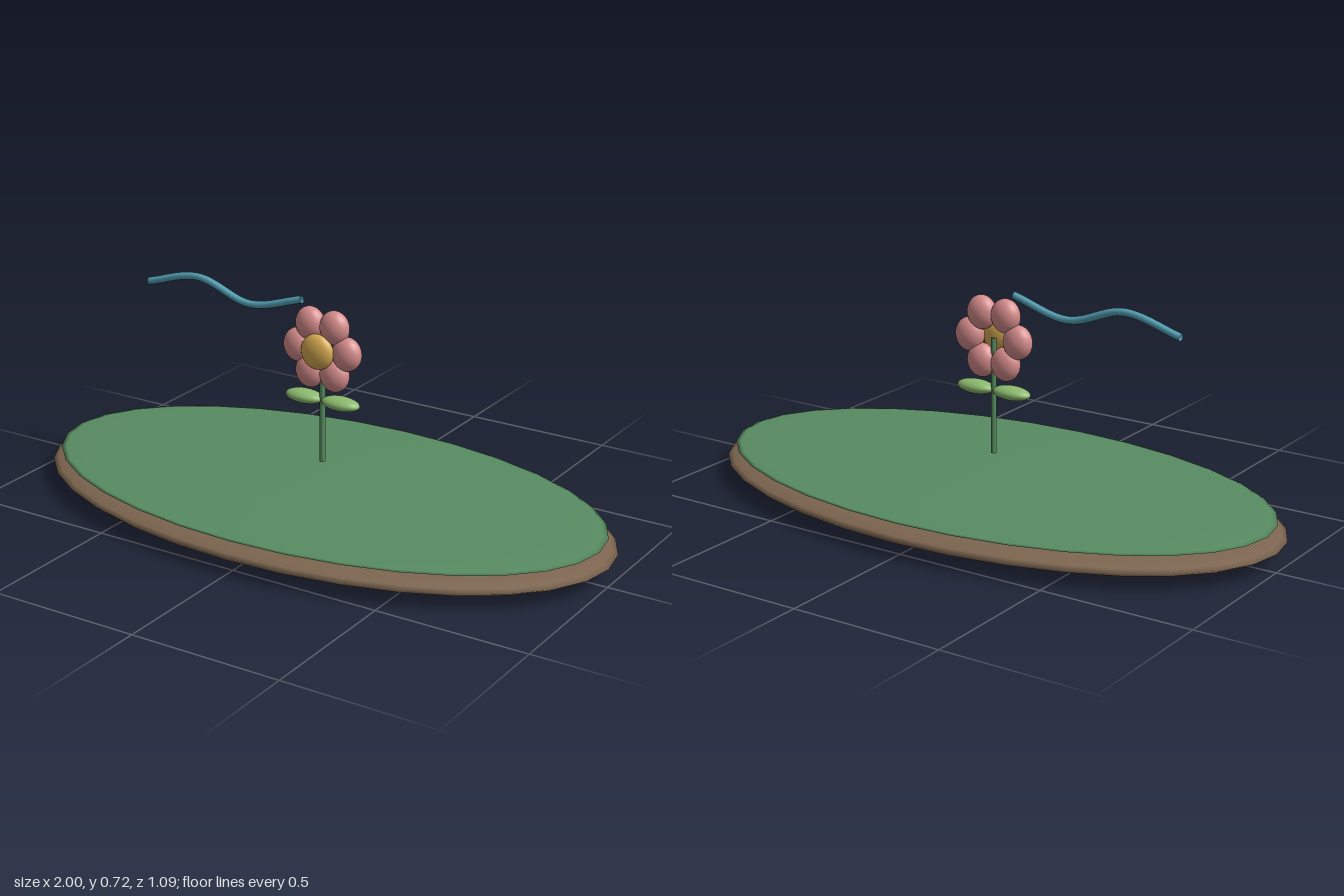
import * as THREE from 'three';

const paint = (name, color, side = THREE.FrontSide) => {
  const m = new THREE.MeshStandardMaterial({ color, side });
  m.name = name;
  return m;
};

export function createModel() {
  const model = new THREE.Group();
  model.name = 'flowerOnIsland';

  const soil = paint('soil brown', 0x7d6650);
  const grass = paint('grass green', 0x588c62);
  const stemGreen = paint('stem green', 0x558a5c);
  const leafGreen = paint('leaf green', 0x8cbb6e);
  const pink = paint('petal pink', 0xd68c8c);
  const gold = paint('centre gold', 0xd6aa50);
  const blue = paint('ribbon blue', 0x56a3b8, THREE.DoubleSide);

  const add = (name, geometry, material, parent = model) => {
    const mesh = new THREE.Mesh(geometry, material);
    mesh.name = name;
    parent.add(mesh);
    return mesh;
  };
  // Smooth ellipsoid with given centre and half sizes
  const ellipsoid = (name, material, centre, radii, parent, w = 24, h = 16) => {
    const geometry = new THREE.SphereGeometry(1, w, h).scale(...radii);
    const mesh = add(name, geometry, material, parent);
    mesh.position.set(...centre);
    return mesh;
  };

  // Island: flat soil body with a thin grass lens on top
  ellipsoid('soilBase', soil, [0, 0.058, 0], [1, 0.058, 0.544], model, 32, 16);
  ellipsoid('grassTop', grass, [0, 0.105, 0], [0.968, 0.017, 0.521], model, 32, 16);

  // Flower
  const flower = new THREE.Group();
  flower.name = 'flower';
  model.add(flower);
  const stem = add('stem', new THREE.CylinderGeometry(0.009, 0.009, 0.375, 12), stemGreen, flower);
  stem.position.y = 0.3675;

  for (const side of [1, -1]) {
    ellipsoid(side > 0 ? 'leftLeaf' : 'rightLeaf', leafGreen,
      [side * 0.067, 0.388, 0], [0.067, 0.022, 0.036], flower);
  }
  for (let i = 0; i < 6; i++) {
    const a = (i * Math.PI) / 3;
    ellipsoid('petal' + (i + 1), pink,
      [0.089 * Math.cos(a), 0.555 + 0.089 * Math.sin(a), 0], [0.05, 0.055, 0.037], flower);
  }
  ellipsoid('flowerCentre', gold, [0, 0.555, 0.03], [0.057, 0.057, 0.029], flower);

  // Waving ribbon of wind beside the blossom
  const path = new THREE.CatmullRomCurve3([
    [-0.662, 0.662], [-0.467, 0.709], [-0.27, 0.654], [-0.075, 0.703],
  ].map(([x, y]) => new THREE.Vector3(x, y, 0)));
  add('windRibbon', new THREE.TubeGeometry(path, 32, 0.0125, 8, false), blue);

  return model;
}
